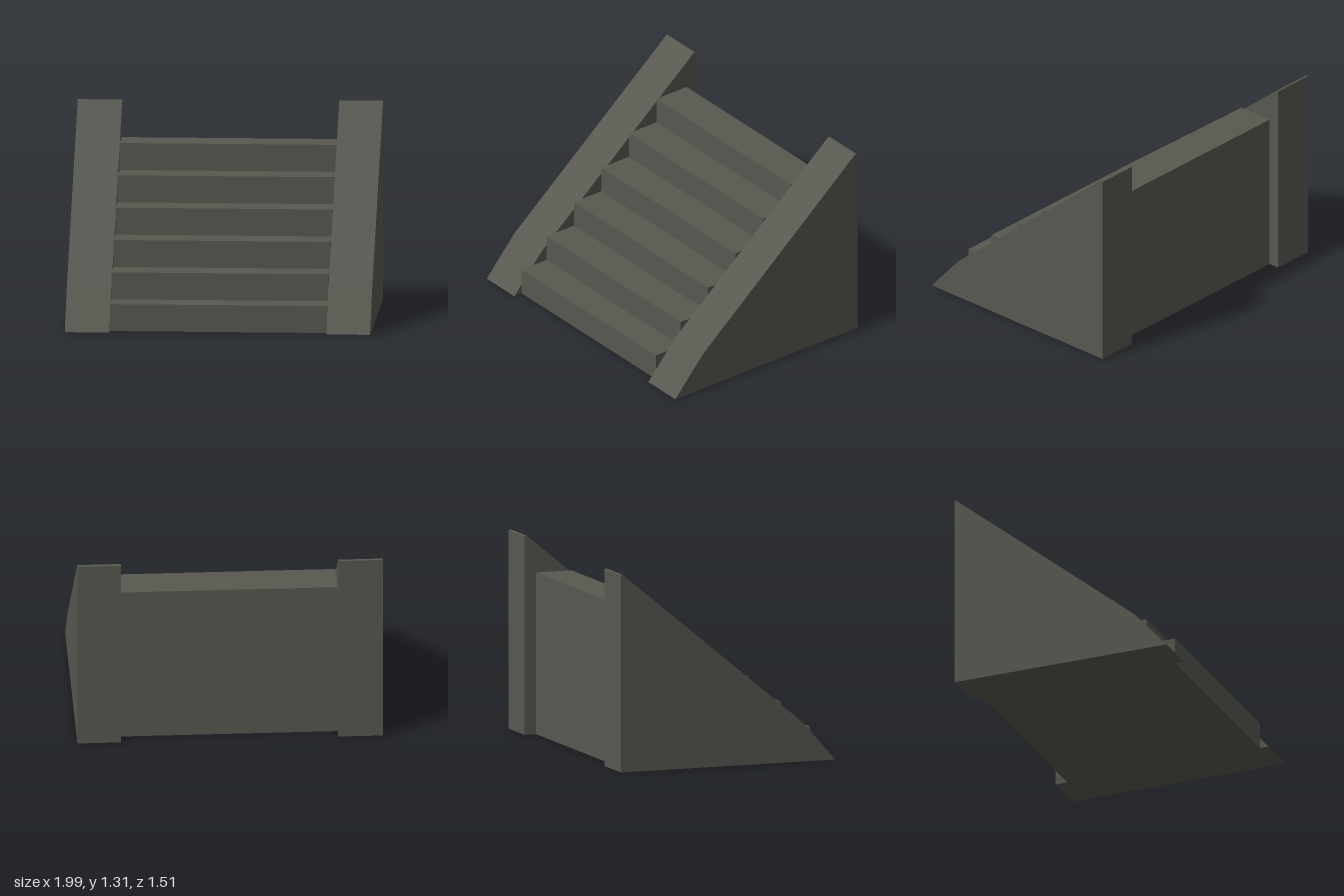
import * as THREE from 'three';

// Extrudes a side profile of [z, y] points across x, from xMin to xMax
function extrudeAcross(points, xMin, xMax) {
  const shape = new THREE.Shape(points.map(([z, y]) => new THREE.Vector2(z, y)));
  const geometry = new THREE.ExtrudeGeometry(shape, { depth: xMax - xMin, bevelEnabled: false });
  geometry.rotateY(-Math.PI / 2);
  geometry.translate(xMax, 0, 0);
  return geometry;
}

export function createModel() {
  const group = new THREE.Group();
  group.name = 'stoneStairs';
  const stone = new THREE.MeshStandardMaterial({ color: 0x585851 });
  stone.name = 'darkStone';

  const add = (name, geometry) => {
    const mesh = new THREE.Mesh(geometry, stone);
    mesh.name = name;
    group.add(mesh);
  };

  // Solid flight of six steps, with a vertical back
  const rise = 1.067 / 6;
  const fronts = [0.69, 0.485, 0.258, 0.03, -0.198, -0.425];
  const flight = [[-0.675, 0]];
  fronts.forEach((z, i) => flight.push([z, i * rise], [z, (i + 1) * rise]));
  flight.push([-0.675, 1.067]);
  add('steps', extrudeAcross(flight, -0.705, 0.712));

  // Sloping side walls, steeper near the foot
  const wall = (top, back) => [
    [back, 0], [0.752, 0], [0.522, 0.26], [-0.738, top], [back, top - 0.004],
  ];
  add('leftWall', extrudeAcross(wall(1.313, -0.755), 0.712, 0.998));
  add('rightWall', extrudeAcross(wall(1.305, -0.75), -0.996, -0.705));

  return group;
}
